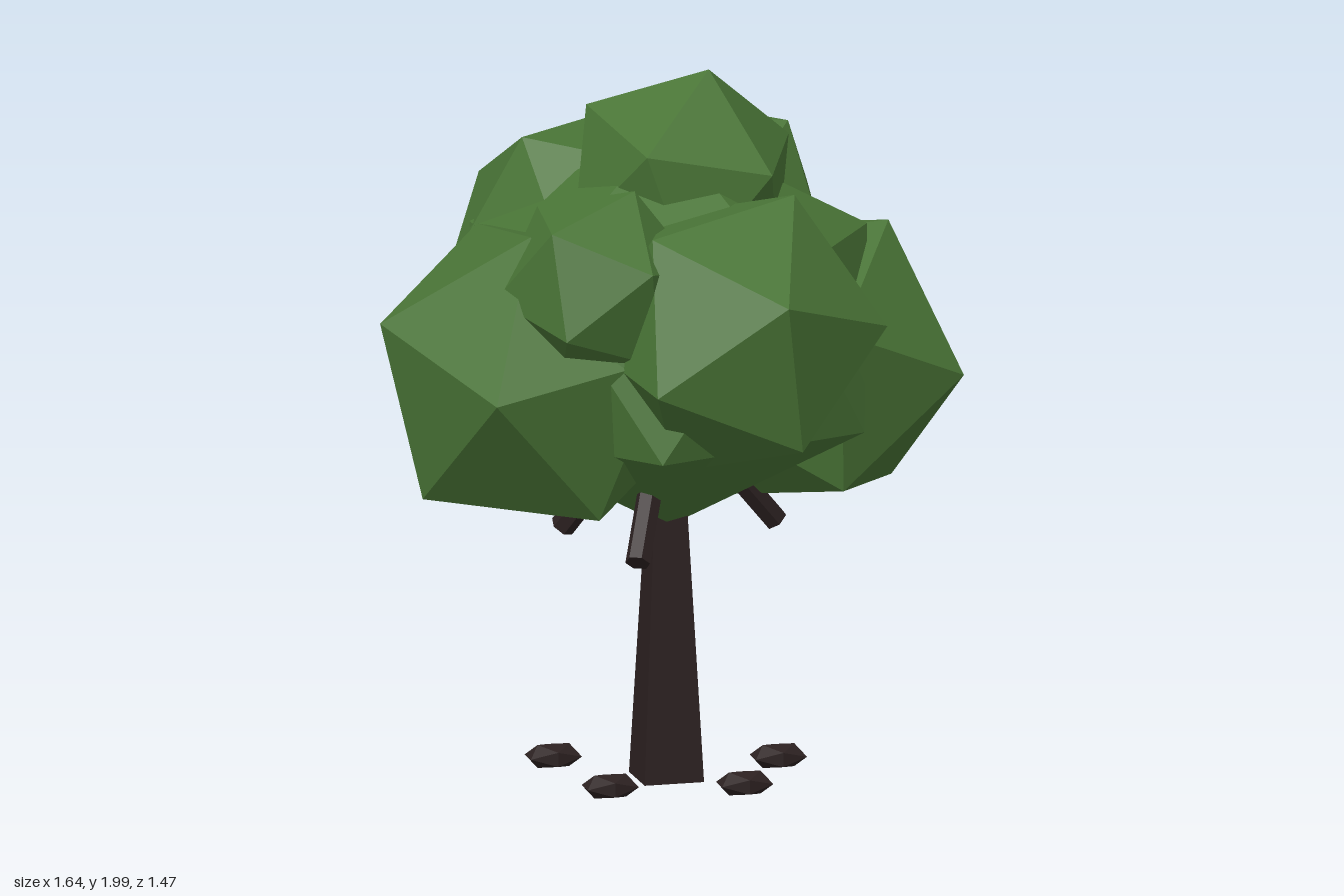
import * as THREE from 'three';

const V = (a) => new THREE.Vector3(...a);

// Rotation frame whose x axis is a and whose y axis leans towards b
function frame(a, b) {
  const x = V(a).normalize();
  const y = V(b).addScaledVector(x, -V(b).dot(x)).normalize();
  return new THREE.Matrix4().makeBasis(x, y, x.clone().cross(y));
}

export function createModel() {
  const tree = new THREE.Group();
  tree.name = 'tree';
  const leaves = new THREE.MeshStandardMaterial({ name: 'leafGreen', color: 0x497436, flatShading: true });
  const bark = new THREE.MeshStandardMaterial({ name: 'darkBark', color: 0x2c2121, flatShading: true });

  function add(name, geometry, material) {
    const mesh = new THREE.Mesh(geometry, material);
    mesh.name = name;
    tree.add(mesh);
    return mesh;
  }

  // Leaf clumps: icosahedra turned so two adjacent corners point along a and b
  const t = (1 + Math.sqrt(5)) / 2;
  const source = frame([-1, t, 0], [1, t, 0]).invert();
  function clump(name, centre, radius, a, b, flatten = 1) {
    const geometry = new THREE.IcosahedronGeometry(radius, 0)
      .applyMatrix4(frame(a, b).multiply(source))
      .scale(1, flatten, 1);
    add(name, geometry, leaves).position.set(...centre);
  }
  clump('coreFoliage', [0.008, 1.27, -0.035], 0.64, [0, -1, 0], [0.74, -0.45, 0.5], 0.88);
  clump('topFoliage', [0.058, 1.665, -0.07], 0.34, [0.062, 0.33, 0.06], [0.33, 0.09, -0.06]);
  clump('frontFoliage', [0.1, 1.335, 0.342], 0.42, [0.05, 0.155, 0.385], [0.385, 0.05, 0.19]);
  clump('rightFoliage', [-0.378, 1.185, 0.045], 0.475, [-0.452, 0.165, -0.007], [-0.222, 0.01, 0.423]);
  clump('leftFoliage', [0.435, 1.13, -0.155], 0.45, [0.385, -0.02, 0.235], [0.385, 0.07, -0.255]);
  clump('backFoliage', [-0.135, 1.43, -0.365], 0.402, [0.135, 0.335, -0.17], [0.15, -0.02, -0.37]);
  clump('backLeftFoliage', [0.24, 1.53, -0.345], 0.308, [0.17, 0.24, 0.08], [0.29, 0.02, -0.13]);
  clump('frontRightFoliage', [-0.27, 1.475, 0.275], 0.285, [0.1, 0.27, 0.02], [0.08, 0.07, 0.25]);

  // Square tapering trunk
  const trunk = new THREE.CylinderGeometry(0.035 * Math.SQRT2, 0.084 * Math.SQRT2, 1, 4)
    .rotateY(Math.PI / 4).translate(0.008, 0.5, -0.04);
  add('trunk', trunk, bark);

  // Stub branches hanging out from the crown
  const crown = V([0.008, 1.08, -0.04]);
  for (const p of [[0.345, 0.68, -0.145], [-0.225, 0.665, -0.275], [-0.16, 0.69, 0.285]]) {
    const tip = V(p);
    const along = crown.clone().sub(tip);
    const branch = add('branch', new THREE.CylinderGeometry(0.035, 0.035, along.length(), 6), bark);
    branch.position.copy(tip).add(crown).multiplyScalar(0.5);
    branch.quaternion.setFromUnitVectors(new THREE.Vector3(0, 1, 0), along.normalize());
  }

  // Flat bark chips around the base
  for (const [x, z] of [[0.325, -0.04], [0.155, 0.24], [-0.21, 0.18], [-0.27, -0.2], [0.1, -0.34]]) {
    const chip = add('barkChip', new THREE.IcosahedronGeometry(1, 0), bark);
    chip.scale.set(0.085, 0.038, 0.063);
    chip.position.set(x, 0.04, z);
  }
  return tree;
}
